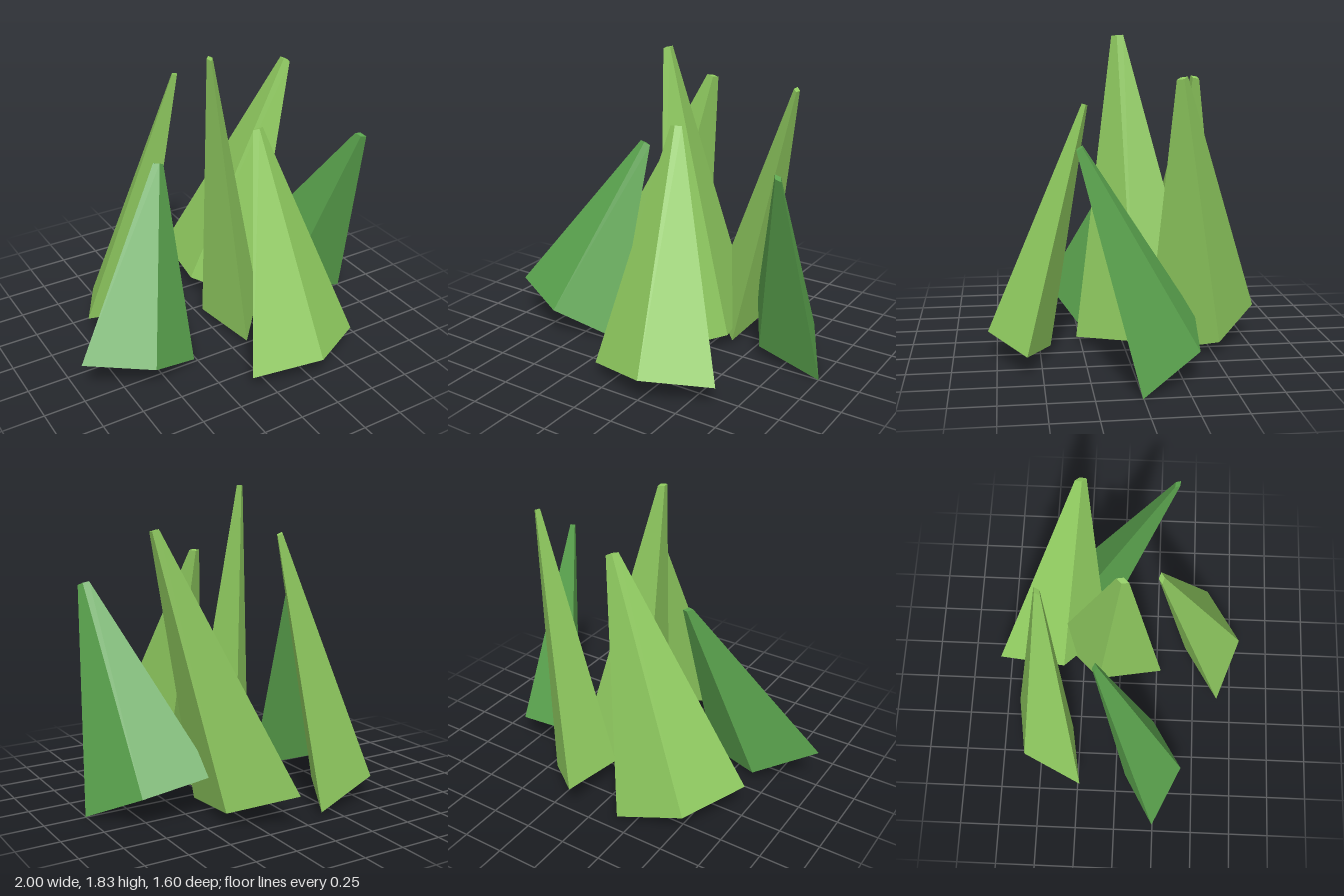
import * as THREE from 'three';

const HALF_WIDTH = 0.384; // long half diagonal of a blade's base
const HALF_DEPTH = 0.188; // short half diagonal
const TIP_SCALE = 0.092;

// Tapered four-sided blade from base centre to tip centre; wide points along the long diagonal.
function bladeGeometry(base, tip, wide) {
  const from = new THREE.Vector3(...base);
  const axis = new THREE.Vector3(...tip).sub(from);
  const up = axis.clone().normalize();
  const x = new THREE.Vector3(...wide);
  x.addScaledVector(up, -x.dot(up)).setLength(HALF_WIDTH);
  const z = x.clone().cross(up).setLength(HALF_DEPTH);
  const matrix = new THREE.Matrix4().makeBasis(x, axis, z).setPosition(from);
  const geometry = new THREE.CylinderGeometry(TIP_SCALE, 1, 1, 4)
    .translate(0, 0.5, 0)
    .applyMatrix4(matrix)
    .toNonIndexed();
  geometry.computeVertexNormals();
  return geometry;
}

export function createModel() {
  const group = new THREE.Group();
  group.name = 'grassTuft';

  const makeMaterial = (name, color) => {
    const material = new THREE.MeshStandardMaterial({ color, flatShading: true });
    material.name = name;
    return material;
  };
  const lightGreen = makeMaterial('lightGreen', 0x8fca5f);
  const darkGreen = makeMaterial('darkGreen', 0x5ba44e);

  // name, material, base centre, tip centre, wide direction
  const blades = [
    ['rightBlade', darkGreen, [-0.635, 0.13, 0.24], [-0.288, 1.19, -0.13], [0.365, -0.12, 0]],
    ['frontBlade', lightGreen, [0.27, 0.105, 0.62], [0.165, 1.445, 0.225], [0.38, 0.02, -0.035]],
    ['centreBlade', lightGreen, [0.19, 0.075, -0.09], [-0.025, 1.83, 0.015], [-0.105, -0.035, 0.375]],
    ['backLeftBlade', lightGreen, [0.227, 0.115, -0.455], [0.665, 1.62, -0.245], [0.137, -0.085, 0.345]],
    ['backRightBlade', lightGreen, [-0.45, 0.11, -0.45], [0, 1.585, -0.445], [0.3, -0.092, -0.222]],
    ['leftBlade', darkGreen, [0.695, 0.125, -0.19], [0.845, 1.285, 0.31], [0.305, -0.125, 0.192]],
  ];
  for (const [name, material, base, tip, wide] of blades) {
    const mesh = new THREE.Mesh(bladeGeometry(base, tip, wide), material);
    mesh.name = name;
    group.add(mesh);
  }
  return group;
}
